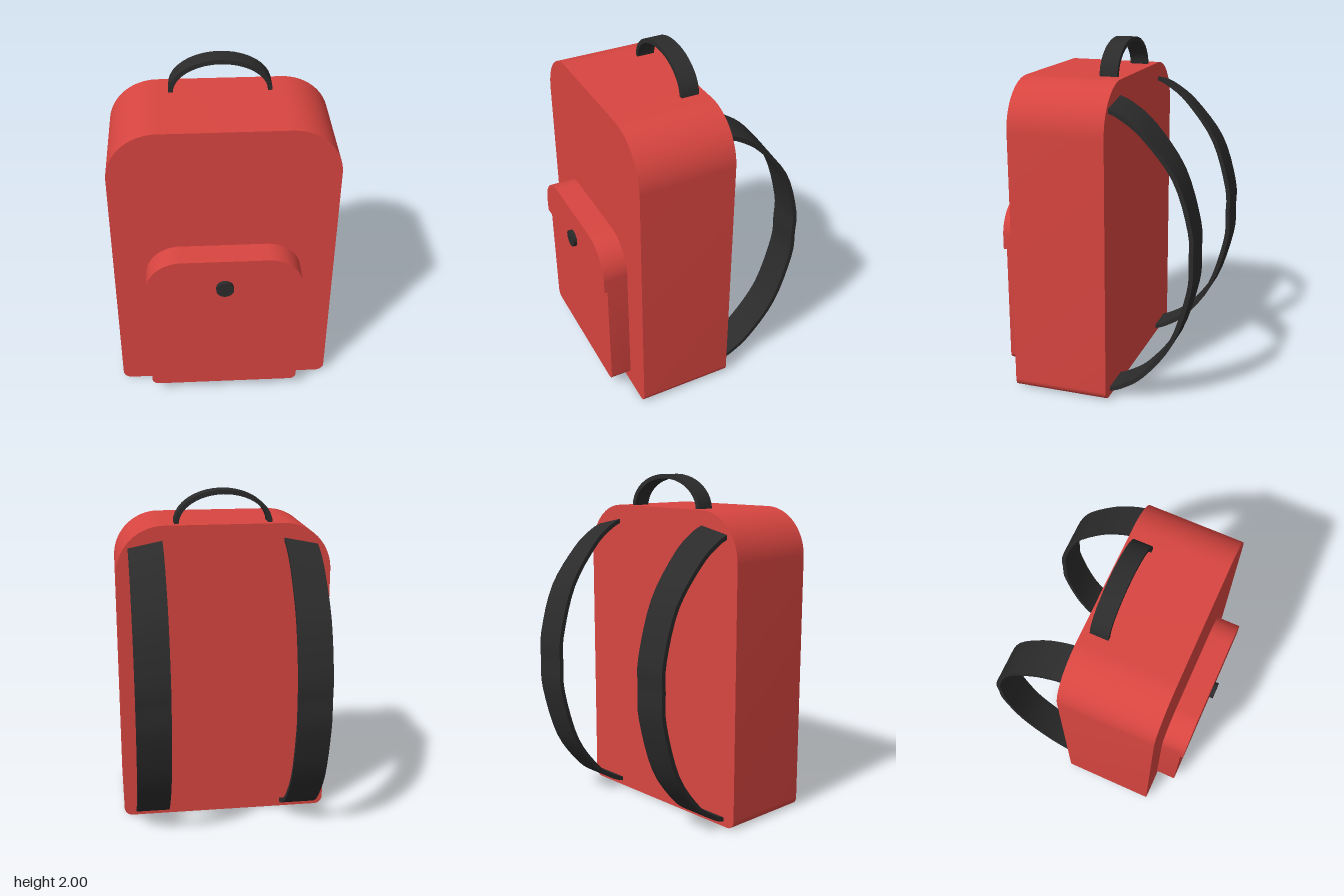
import * as THREE from 'three';
import { toCreasedNormals } from 'three/addons/utils/BufferGeometryUtils.js';

const red = new THREE.MeshStandardMaterial({ color: 0xd84540 });
red.name = 'red fabric';
const black = new THREE.MeshStandardMaterial({ color: 0x2b2b2b });
black.name = 'black webbing';

// Upright panel with separate radii for the top and bottom corners
function panelShape(x0, x1, y0, y1, rTop, rBottom) {
  const s = new THREE.Shape();
  const q = Math.PI / 2;
  s.moveTo(x0 + rBottom, y0);
  s.lineTo(x1 - rBottom, y0);
  if (rBottom) s.absarc(x1 - rBottom, y0 + rBottom, rBottom, -q, 0, false);
  s.lineTo(x1, y1 - rTop);
  s.absarc(x1 - rTop, y1 - rTop, rTop, 0, q, false);
  s.lineTo(x0 + rTop, y1);
  s.absarc(x0 + rTop, y1 - rTop, rTop, q, 2 * q, false);
  s.lineTo(x0, y0 + rBottom);
  if (rBottom) s.absarc(x0 + rBottom, y0 + rBottom, rBottom, 2 * q, 3 * q, false);
  return s;
}

// Flat band: outer path plus the same path offset inward by the thickness
function bandShape(points, thickness) {
  const inner = points.map((p, i) => {
    const a = points[Math.max(i - 1, 0)];
    const b = points[Math.min(i + 1, points.length - 1)];
    const t = b.clone().sub(a).normalize();
    return new THREE.Vector2(p.x + t.y * thickness, p.y - t.x * thickness);
  });
  return new THREE.Shape([...points, ...inner.reverse()]);
}

function extrude(shape, depth) {
  return new THREE.ExtrudeGeometry(shape, { depth, bevelEnabled: false, curveSegments: 10 });
}

function part(name, geometry, material) {
  const mesh = new THREE.Mesh(toCreasedNormals(geometry, 0.6), material);
  mesh.name = name;
  return mesh;
}

export function createModel() {
  const model = new THREE.Group();
  model.name = 'backpack';
  const bag = new THREE.Group();
  bag.name = 'bag';
  bag.rotation.y = -Math.PI / 4; // the bag stands turned by an eighth
  model.add(bag);

  // Main compartment
  const body = extrude(panelShape(-0.632, 0.624, 0, 1.81, 0.28, 0.05), 0.561);
  body.translate(0, 0, -0.083);
  bag.add(part('body', body, red));

  // Front pocket and its overhanging flap
  const pocket = extrude(panelShape(-0.449, 0.431, 0.07, 1.055, 0.2, 0.04), 0.13);
  pocket.translate(0, 0, 0.472);
  bag.add(part('pocket', pocket, red));
  const flap = extrude(panelShape(-0.452, 0.434, 0.783, 1.06, 0.2, 0), 0.146);
  flap.translate(0, 0, 0.475);
  bag.add(part('pocketFlap', flap, red));

  // Button on the flap
  const button = new THREE.CylinderGeometry(0.05, 0.05, 0.04, 24);
  button.rotateX(Math.PI / 2);
  button.translate(-0.008, 0.87, 0.624);
  bag.add(part('button', button, black));

  // Arched carrying handle
  const arch = [];
  for (let i = 0; i <= 20; i++) {
    const a = Math.PI * (1 - i / 20);
    arch.push(new THREE.Vector2(-0.004 + 0.286 * Math.cos(a), 1.805 + 0.195 * Math.sin(a)));
  }
  const handle = extrude(bandShape(arch, 0.025), 0.105);
  handle.translate(0, 0, -0.041);
  bag.add(part('handle', handle, black));

  // Shoulder straps: x is the distance behind the bag's centre
  const path = new THREE.SplineCurve([
    [0.07, 1.73], [0.16, 1.69], [0.29, 1.585], [0.46, 1.35], [0.553, 1.05],
    [0.56, 0.88], [0.553, 0.7], [0.455, 0.38], [0.29, 0.155], [0.16, 0.06], [0.07, 0.025],
  ].map(([x, y]) => new THREE.Vector2(x, y))).getPoints(40);
  const width = 0.198;
  for (const side of [1, -1]) {
    const strap = extrude(bandShape(path, 0.025), width);
    // The outer edge drops slightly towards the shoulder
    const pos = strap.attributes.position;
    for (let i = 0; i < pos.count; i++) {
      const w = pos.getZ(i) / width;
      const outward = side > 0 ? w : 1 - w;
      const rise = THREE.MathUtils.smoothstep(pos.getY(i), 1.1, 1.7);
      pos.setY(i, pos.getY(i) - 0.04 * outward * rise);
    }
    strap.rotateY(Math.PI / 2);
    strap.translate(side > 0 ? 0.354 : -0.552, 0, 0);
    strap.computeVertexNormals();
    bag.add(part(side > 0 ? 'leftStrap' : 'rightStrap', strap, black));
  }
  return model;
}
